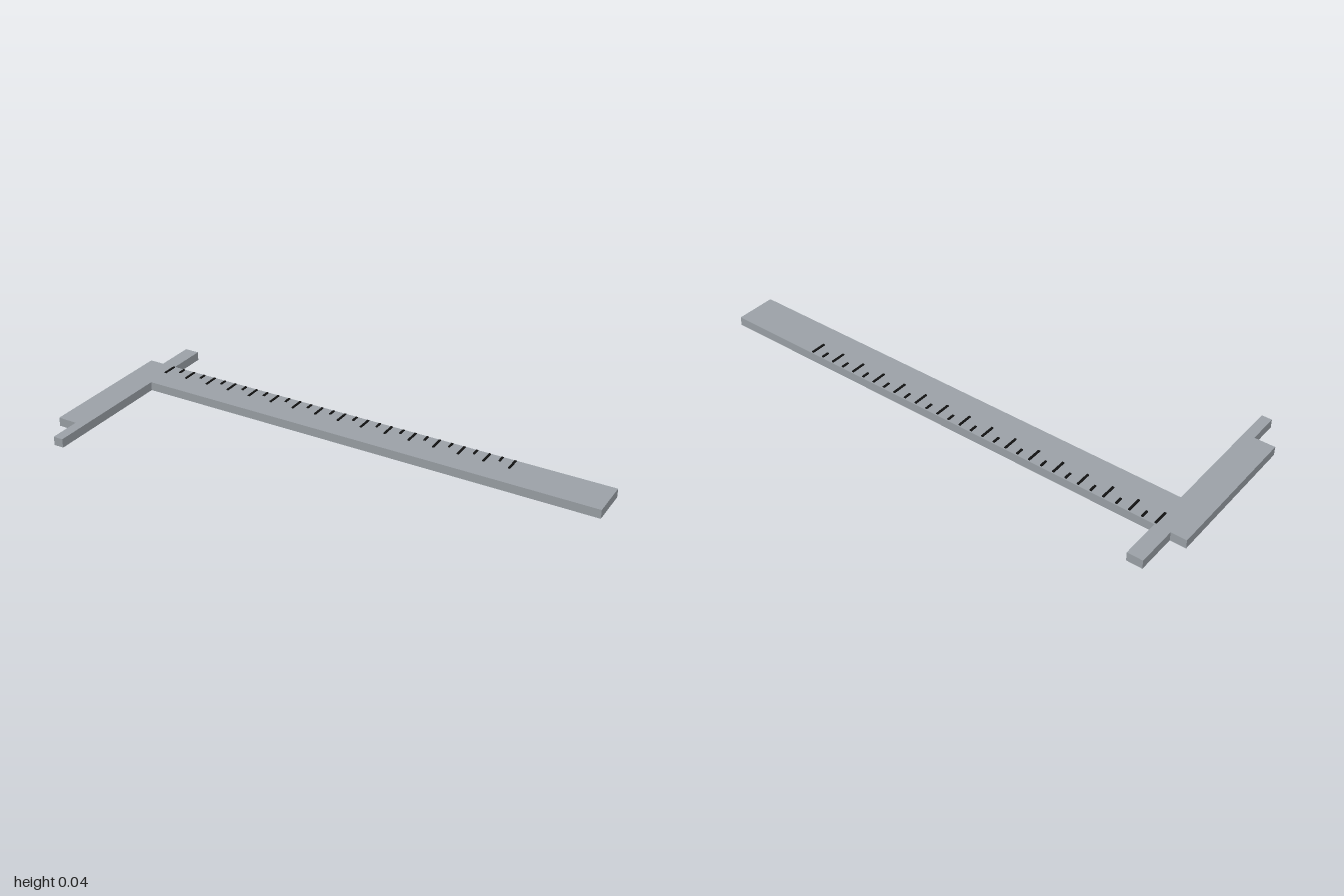
import * as THREE from 'three';

export function createModel() {
  const group = new THREE.Group();
  const steel = new THREE.MeshStandardMaterial({ color: 0x9aa0a6 });
  steel.name = 'steel grey';
  const ink = new THREE.MeshStandardMaterial({ color: 0x111111 });
  ink.name = 'marking black';
  const thickness = 0.035;

  // Flat caliper body: beam, long lower jaw with narrow tip, short upper jaw (x, z)
  const outline = [
    [-1, 0.305], [-0.92, 0.305], [-0.92, 0.43], [-0.88, 0.43],
    [-0.88, -0.11], [1, -0.11], [1, -0.27], [-0.88, -0.27],
    [-0.88, -0.43], [-0.94, -0.43], [-0.94, -0.27], [-1, -0.27],
  ];
  const shape = new THREE.Shape(outline.map(([x, z]) => new THREE.Vector2(x, -z)));
  const bodyGeometry = new THREE.ExtrudeGeometry(shape, { depth: thickness, bevelEnabled: false });
  bodyGeometry.rotateX(-Math.PI / 2);
  const body = new THREE.Mesh(bodyGeometry, steel);
  body.name = 'beamAndJaws';
  group.add(body);

  // Scale marks, alternating long and short
  const scale = new THREE.Group();
  scale.name = 'scaleMarks';
  const markHeight = 0.004;
  for (let i = 0; i <= 30; i++) {
    const long = i % 2 === 0;
    const length = long ? 0.06 : 0.03;
    const mark = new THREE.Mesh(new THREE.BoxGeometry(0.008, markHeight, length), ink);
    mark.name = long ? 'longMark' : 'shortMark';
    mark.position.set(-0.88 + i * 0.05, thickness + markHeight / 2, -0.265 + length / 2);
    scale.add(mark);
  }
  group.add(scale);
  return group;
}
